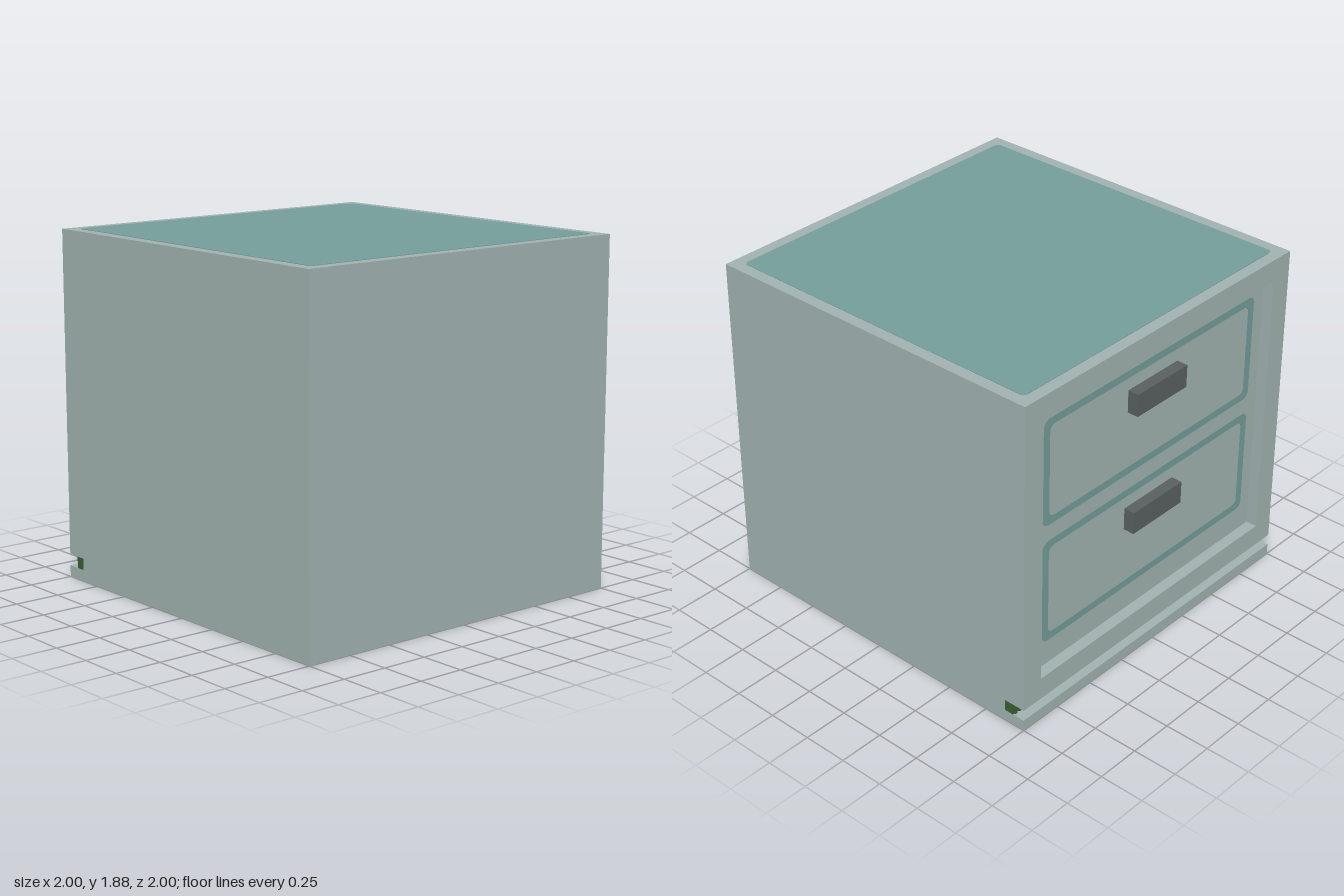
import * as THREE from 'three';
import { mergeGeometries } from 'three/addons/utils/BufferGeometryUtils.js';

const material = (name, color) => {
  const m = new THREE.MeshStandardMaterial({ color });
  m.name = name;
  return m;
};

// Rounded rectangle centred on (0, cy), as a Shape or a Path for a hole
function roundedRect(target, w, h, r, cy = 0) {
  const x = w / 2, b = cy - h / 2, t = cy + h / 2;
  target.moveTo(-x + r, b);
  target.lineTo(x - r, b);
  target.absarc(x - r, b + r, r, -Math.PI / 2, 0);
  target.lineTo(x, t - r);
  target.absarc(x - r, t - r, r, 0, Math.PI / 2);
  target.lineTo(-x + r, t);
  target.absarc(-x + r, t - r, r, Math.PI / 2, Math.PI);
  target.lineTo(-x, b + r);
  target.absarc(-x + r, b + r, r, Math.PI, Math.PI * 1.5);
  return target;
}

const polygon = (points) => new THREE.Shape(points.map(([x, y]) => new THREE.Vector2(x, y)));

const extrude = (shape, depth) =>
  new THREE.ExtrudeGeometry(shape, { depth, bevelEnabled: false, curveSegments: 6 });

export function createModel() {
  const body = material('grey green body', 0xa0b2b0);
  const teal = material('teal inlay', 0x749d9a);
  const dark = material('dark handle', 0x596060);
  const green = material('green strip', 0x365f2d);

  const model = new THREE.Group();
  model.name = 'drawerCabinet';
  const add = (parent, name, geometry, mat, x = 0, y = 0, z = 0) => {
    const mesh = new THREE.Mesh(geometry, mat);
    mesh.name = name;
    mesh.position.set(x, y, z);
    parent.add(mesh);
    return mesh;
  };

  // Cabinet: side profile with a groove near the base, extruded across the width
  const profile = polygon([
    [-1, 0], [1, 0], [1, 0.0625], [0.875, 0.0625], [0.875, 0.125],
    [0.9375, 0.125], [0.9375, 1.875], [-1, 1.875],
  ]);
  const cabinet = add(model, 'cabinet', extrude(profile, 2), body, -1);
  cabinet.rotation.y = Math.PI / 2;

  // Inlay on the top
  const inlay = roundedRect(new THREE.Shape(), 1.87, 1.87, 0.025);
  const top = add(model, 'topInlay', extrude(inlay, 0.003), teal, 0, 1.8745, 0);
  top.rotation.x = -Math.PI / 2;

  // Drawer side faces -z
  const drawers = new THREE.Group();
  drawers.name = 'drawerSide';
  drawers.rotation.y = Math.PI;
  model.add(drawers);

  // Raised frame around the recessed drawers
  const frame = polygon([[-1, 0.125], [1, 0.125], [1, 1.875], [-1, 1.875]]);
  frame.holes.push(roundedRect(new THREE.Path(), 1.75, 1.5, 0.0001, 1));
  add(drawers, 'drawerFrame', extrude(frame, 0.0625), body, 0, 0, 0.9375);

  // Two drawers, each with an outline and a handle
  for (const [name, outlineY, handleY] of [['upper', 1.38, 1.505], ['lower', 0.69, 0.818]]) {
    const outline = roundedRect(new THREE.Shape(), 1.6, 0.6, 0.04);
    outline.holes.push(roundedRect(new THREE.Path(), 1.515, 0.515, 0.035));
    add(drawers, name + 'DrawerOutline', extrude(outline, 0.003), teal, 0, outlineY, 0.937);
    add(drawers, name + 'DrawerHandle', new THREE.BoxGeometry(0.375, 0.125, 0.0625), dark, 0, handleY, 0.96875);
  }

  // Ribbed strip in the groove
  const parts = [new THREE.BoxGeometry(2, 0.0625, 0.055).translate(0, 0.09375, 0.9025)];
  const ribs = 64;
  for (let i = 0; i < ribs; i++) {
    const x = -1 + (i + 0.5) * 2 / ribs;
    parts.push(new THREE.BoxGeometry(1 / ribs, 0.06, 0.0085).translate(x, 0.09375, 0.93375));
  }
  add(drawers, 'ribbedStrip', mergeGeometries(parts), green);

  return model;
}
